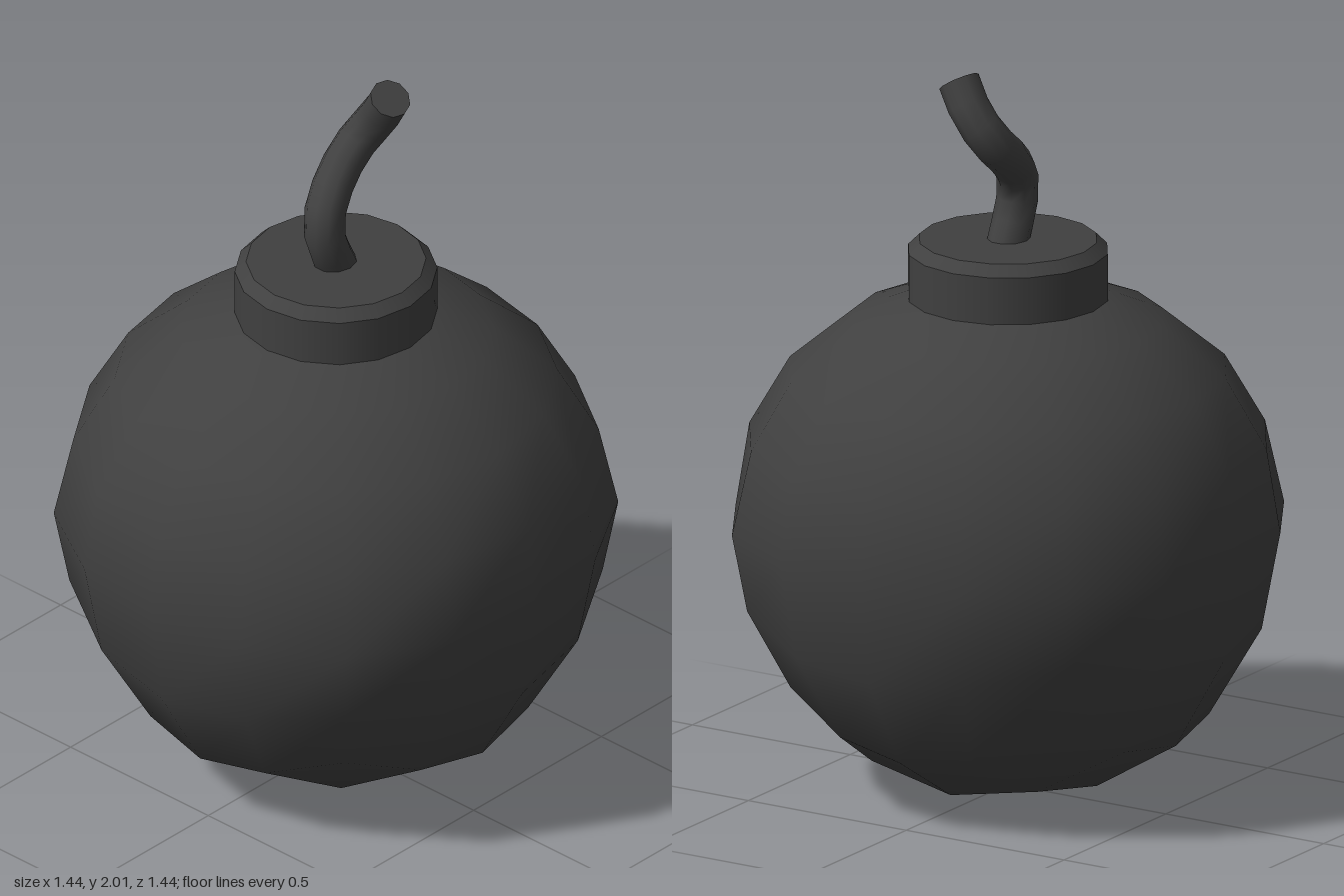
import * as THREE from 'three';
import { mergeVertices } from 'three/addons/utils/BufferGeometryUtils.js';

const SIDES = 16;
const CENTRE = 0.74;
// Shoulder rings above the equator: [radius, height]
const RINGS = [[0.70, 0.97], [0.59, 1.16], [0.42, 1.30], [0.27, 1.36]];

// Vertex rule turning a 4x4x4 box into a slightly boxy ball with round shoulders
function shapeBall(p) {
  const yBox = p.y;
  const d = new THREE.Vector3(...p.toArray().map((c) => Math.tan(c * Math.PI / 4))).normalize();
  if (yBox > 0.01) {
    const [r, y] = RINGS[yBox > 0.75 ? 1 : 0];
    // equal-angle columns around the vertical axis
    const a = Math.atan2(d.z, d.x);
    return p.set(r * Math.cos(a), y, r * Math.sin(a));
  }
  const [x, y, z] = [d.x * d.x, d.y * d.y, d.z * d.z];
  const r = 0.722 + 0.12 * (x * y + y * z + z * x) - 0.95 * x * y * z;
  return p.set(d.x * r, CENTRE + d.y * r * CENTRE / 0.722, d.z * r);
}

function bodyGeometry() {
  const box = new THREE.BoxGeometry(2, 2, 2, 4, 4, 4);
  const top = box.groups[2];
  const index = [...box.index.array];
  index.splice(top.start, top.count); // the top face becomes the shoulder rings
  const pos = box.attributes.position;
  const points = [];
  const p = new THREE.Vector3();
  for (let i = 0; i < pos.count; i++) {
    shapeBall(p.fromBufferAttribute(pos, i));
    points.push(p.x, p.y, p.z);
  }
  // Shoulder rings up to the collar
  const start = points.length / 3;
  const rings = RINGS.slice(1);
  for (const [r, y] of rings) {
    for (let i = 0; i < SIDES; i++) {
      const a = i / SIDES * Math.PI * 2;
      points.push(r * Math.cos(a), y, r * Math.sin(a));
    }
  }
  for (let j = 0; j < rings.length - 1; j++) {
    for (let i = 0; i < SIDES; i++) {
      const a = start + j * SIDES + i;
      const b = start + j * SIDES + (i + 1) % SIDES;
      index.push(a, a + SIDES, b, b, a + SIDES, b + SIDES);
    }
  }
  const raw = new THREE.BufferGeometry();
  raw.setAttribute('position', new THREE.Float32BufferAttribute(points, 3));
  raw.setIndex(index);
  const geo = mergeVertices(raw, 1e-4);
  geo.computeVertexNormals();
  return geo;
}

export function createModel() {
  const group = new THREE.Group();
  const material = new THREE.MeshStandardMaterial({ color: 0x404040 });
  const capMaterial = new THREE.MeshStandardMaterial({ color: 0x404040, side: THREE.DoubleSide });
  const add = (name, geometry, mat = material) => {
    const mesh = new THREE.Mesh(geometry, mat);
    mesh.name = name;
    group.add(mesh);
    return mesh;
  };

  add('body', bodyGeometry());

  // Collar: straight wall, chamfer and flat lid as separate bands for crisp edges
  const collar = [[0.27, 1.35], [0.27, 1.49], [0.24, 1.52], [0, 1.52]].map((c) => new THREE.Vector2(...c));
  ['collarWall', 'collarChamfer', 'collarLid'].forEach((name, i) => {
    add(name, new THREE.LatheGeometry([collar[i], collar[i + 1]], SIDES));
  });

  // Twisting fuse
  const path = new THREE.CatmullRomCurve3([
    [0.01, 1.49, 0], [-0.045, 1.62, 0], [-0.03, 1.69, -0.01], [0.06, 1.765, -0.04],
    [0.14, 1.83, -0.04], [0.163, 1.90, 0.005], [0.148, 1.985, 0.06],
  ].map((c) => new THREE.Vector3(...c)));
  const segments = 9, fuseSides = 10;
  const fuse = new THREE.TubeGeometry(path, segments, 0.056, fuseSides);
  add('fuse', fuse);

  // Flat end of the fuse, built on the tube's last ring
  const ring = [];
  for (let i = 0; i < fuseSides; i++) {
    ring.push(new THREE.Vector3().fromBufferAttribute(fuse.attributes.position, segments * (fuseSides + 1) + i));
  }
  const fan = [];
  for (let i = 1; i < fuseSides - 1; i++) fan.push(ring[0], ring[i], ring[i + 1]);
  const cap = new THREE.BufferGeometry().setFromPoints(fan);
  cap.computeVertexNormals();
  add('fuseTip', cap, capMaterial);

  return group;
}
